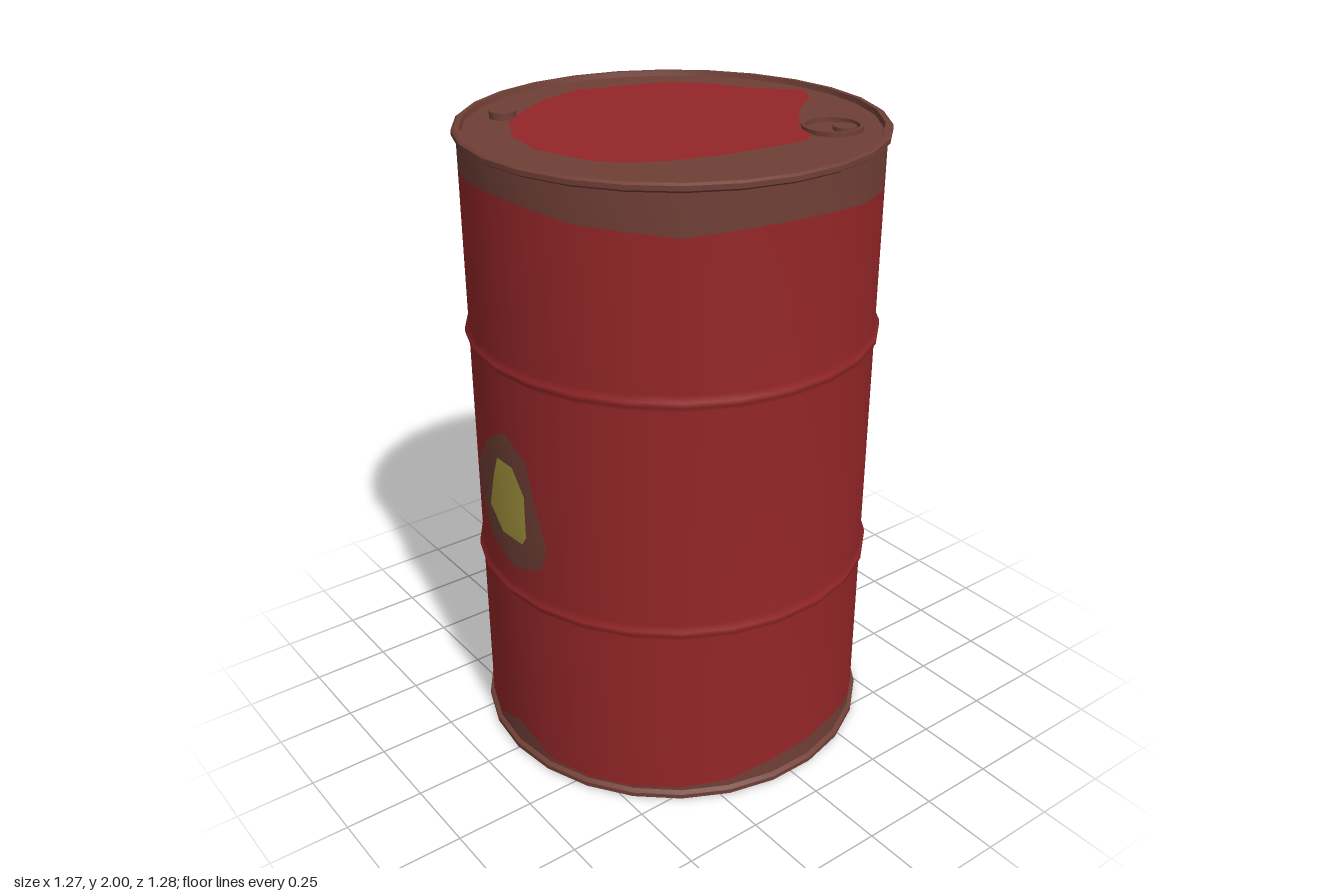
import * as THREE from 'three';
import { mergeVertices, toCreasedNormals } from 'three/addons/utils/BufferGeometryUtils.js';

const SIDES = 26, R = 0.625;

const material = (name, color) => {
  const m = new THREE.MeshStandardMaterial({ color });
  m.name = name;
  return m;
};

// Smooth surface from a grid of points; point(i, j) gives [x, y, z]
function grid(cols, rows, point) {
  const pos = [], index = [];
  for (let j = 0; j <= rows; j++) for (let i = 0; i <= cols; i++) pos.push(...point(i, j));
  for (let j = 0; j < rows; j++) for (let i = 0; i < cols; i++) {
    const a = j * (cols + 1) + i, d = a + cols + 1;
    index.push(a, a + 1, d, a + 1, d + 1, d);
  }
  const g = new THREE.BufferGeometry();
  g.setAttribute('position', new THREE.Float32BufferAttribute(pos, 3));
  g.setIndex(index);
  const merged = mergeVertices(g, 1e-5);
  merged.computeVertexNormals();
  return merged;
}

// Wall band around the drum; each row is [radius, height or list of heights]
function band(rows) {
  return grid(SIDES, rows.length - 1, (i, j) => {
    const [r, h] = rows[j], k = i % SIDES, a = (k / SIDES) * Math.PI * 2;
    return [r * Math.sin(a), Array.isArray(h) ? h[k] : h, r * Math.cos(a)];
  });
}

// Irregular patch wrapped on the wall, as scaled rings around its middle
function wallPatch(outline, cx, cy, radius, turn) {
  const n = outline.length, rings = 4;
  return grid(n, rings, (i, j) => {
    const [px, py] = outline[i % n], t = 1 - j / rings;
    const a = Math.asin((cx + (px - cx) * t) / 0.63) + turn;
    return [radius * Math.sin(a), cy + (py - cy) * t, radius * Math.cos(a)];
  });
}

function lathe(points, sides) {
  return toCreasedNormals(
    new THREE.LatheGeometry(points.map(p => new THREE.Vector2(...p)), sides), 0.6);
}

// Heights of the paint edges around the wall, counted from the front
const TOP_EDGE = [1.89, 1.885, 1.865, 1.86, 1.845, 1.86, 1.865, 1.86, 1.845, 1.835, 1.86, 1.865, 1.87,
  1.88, 1.87, 1.86, 1.85, 1.86, 1.87, 1.86, 1.85, 1.86, 1.87, 1.88, 1.875, 1.88];
const LOW_EDGE = [0.11, 0.045, 0.035, 0.035, 0.04, 0.05, 0.08, 0.09, 0.09, 0.06, 0.035, 0.035, 0.05,
  0.11, 0.05, 0.035, 0.035, 0.04, 0.06, 0.09, 0.08, 0.07, 0.07, 0.04, 0.035, 0.045];

const RUST_SPOT = [[-0.22, 0.88], [-0.12, 0.77], [0.02, 0.715], [0.15, 0.75], [0.18, 0.84],
  [0.14, 0.98], [0.11, 1.11], [0.01, 1.17], [-0.1, 1.1], [-0.2, 0.99]];
const YELLOW_SPOT = [[-0.1, 0.88], [-0.02, 0.82], [0.08, 0.82], [0.1, 0.85], [0.1, 0.99],
  [0.05, 1.07], [-0.03, 1.07], [-0.06, 1.0]];
const LID_PAINT = [[-0.06, -0.57], [0.02, -0.52], [0.1, -0.41], [0.2, -0.31], [0.33, -0.25], [0.38, -0.18],
  [0.37, -0.05], [0.35, 0.1], [0.31, 0.24], [0.25, 0.35], [0.18, 0.41], [0, 0.47], [-0.15, 0.45],
  [-0.3, 0.37], [-0.37, 0.28], [-0.45, 0.16], [-0.5, 0], [-0.46, -0.13], [-0.42, -0.28],
  [-0.33, -0.38], [-0.2, -0.45]];

export function createModel() {
  const red = material('redPaint', 0x942628);
  const rust = material('rust', 0x703f36);
  const yellow = material('yellowPaint', 0xa3933d);
  const model = new THREE.Group();
  model.name = 'drum';
  const add = (name, geometry, mat, x = 0, y = 0, z = 0) => {
    const mesh = new THREE.Mesh(geometry, mat);
    mesh.name = name;
    mesh.position.set(x, y, z);
    model.add(mesh);
    return mesh;
  };

  // Painted wall with two raised hoops
  const hoop = y => [[R, y - 0.025], [0.637, y - 0.008], [0.637, y + 0.008], [R, y + 0.025]];
  add('wall', band([[R, LOW_EDGE], ...hoop(0.625), ...hoop(1.375), [R, TOP_EDGE]]), red);

  // Rusted edges of the wall
  add('upperRust', band([[R, TOP_EDGE], [R, 1.975]]), rust);
  add('lowerRust', band([[R, 0.02], [R, LOW_EDGE]]), rust);

  // Rolled rims
  const rim = [[0.61, 1.972], [R, 1.966], [0.638, 1.974], [0.638, 1.988], [0.63, 1.994],
    [0.615, 1.994], [0.61, 1.972]];
  add('topRim', lathe(rim, SIDES), rust);
  add('bottomRim', lathe(rim.map(([r, y]) => [r, 1.994 - y]).reverse(), SIDES), rust);

  // Lid and base with worn paint in the middle
  const disc = new THREE.CircleGeometry(0.615, SIDES);
  add('lid', disc.clone().rotateX(-Math.PI / 2), rust, 0, 1.978);
  add('base', disc.clone().rotateX(Math.PI / 2), rust, 0, 0.016);
  const paint = (points, sign) =>
    new THREE.ShapeGeometry(new THREE.Shape(points.map(([x, z]) => new THREE.Vector2(x, sign * z))));
  add('lidPaint', paint(LID_PAINT, -1).rotateX(-Math.PI / 2), red, 0, 1.982);
  add('basePaint', paint(LID_PAINT, 1).rotateX(Math.PI / 2), red, 0, 0.012);

  // Worn spots on the front and back
  for (const [side, turn] of [['front', 0], ['back', Math.PI - 0.13]]) {
    add(side + 'RustSpot', wallPatch(RUST_SPOT, 0, 0.94, 0.629, turn), rust);
    add(side + 'YellowSpot', wallPatch(YELLOW_SPOT, 0.02, 0.94, 0.632, turn), yellow);
  }

  // Filler collar with its plug, and the small vent plug
  add('fillerCollar', lathe([[0.09, 0], [0.09, 0.014], [0.08, 0.014], [0.08, 0]], 16), rust, 0.325, 1.978, -0.33);
  add('fillerPlug', new THREE.CylinderGeometry(0.035, 0.035, 0.012, 16), rust, 0.35, 1.984, -0.355);
  add('ventPlug', new THREE.CylinderGeometry(0.04, 0.04, 0.022, 16), rust, -0.36, 1.989, 0.355);

  return model;
}
